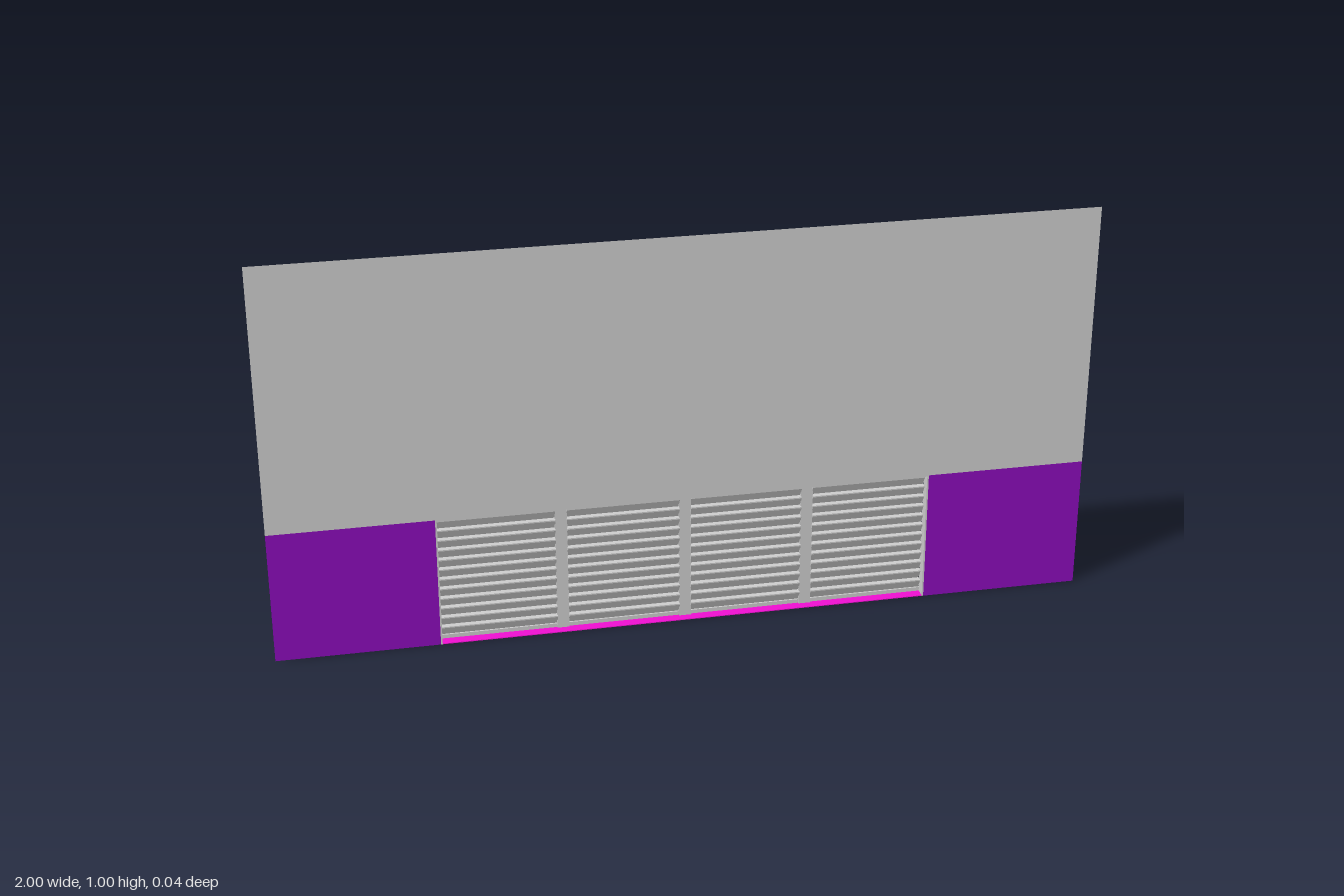
import * as THREE from 'three';

export function createModel() {
  const model = new THREE.Group();
  const grey = new THREE.MeshStandardMaterial({ color: 0xcccccc, flatShading: true, side: THREE.DoubleSide });
  const purple = new THREE.MeshStandardMaterial({ color: 0x8a0cb8, side: THREE.DoubleSide });
  const magenta = new THREE.MeshStandardMaterial({ color: 0xee10d0, side: THREE.DoubleSide });

  const FRONT = 0.018, BACK = -0.011, REAR = -0.018;
  const HALF = 0.605, TOP = 0.335;

  const add = (name, geometry, material = grey) => {
    const mesh = new THREE.Mesh(geometry, material);
    mesh.name = name;
    model.add(mesh);
    return mesh;
  };
  // Thin upright sheet on the facade plane
  const sheet = (name, x0, x1, y0, y1, material) =>
    add(name, new THREE.PlaneGeometry(x1 - x0, y1 - y0), material)
      .position.set((x0 + x1) / 2, (y0 + y1) / 2, FRONT);
  // Box given by its limits
  const box = (name, x0, x1, y0, y1, z0, z1, material) =>
    add(name, new THREE.BoxGeometry(x1 - x0, y1 - y0, z1 - z0), material)
      .position.set((x0 + x1) / 2, (y0 + y1) / 2, (z0 + z1) / 2);

  // Facade: two upper bands with a fine seam, coloured panels beside the opening
  sheet('lowerWallBand', -1, 1, TOP, 0.666, grey);
  sheet('upperWallBand', -1, 1, 0.668, 1, grey);
  box('wallSeam', -1, 1, 0.666, 0.668, FRONT - 0.002, FRONT);
  sheet('rightWallPanel', -1, -HALF, 0, TOP, purple);
  sheet('leftWallPanel', HALF, 1, 0, TOP, purple);

  // Shallow recess: jambs, lintel and coloured sill
  for (const s of [-1, 1]) {
    const jamb = add('jamb', new THREE.BoxGeometry(0.004, TOP, FRONT - BACK));
    jamb.position.set(s * (HALF - 0.002), TOP / 2, (FRONT + BACK) / 2);
  }
  box('lintel', -HALF, HALF, TOP - 0.003, TOP, BACK, FRONT);
  box('sill', -HALF, HALF, 0, 0.002, BACK, FRONT, magenta);

  // Frame behind the shutters
  box('topRail', -HALF, HALF, 0.325, TOP, BACK, BACK + 0.004);
  box('bottomRail', -HALF, HALF, 0.002, 0.012, BACK, BACK + 0.004);
  for (const x of [-0.303, 0, 0.303]) box('post', x - 0.015, x + 0.015, 0.002, TOP, BACK, -0.003);

  // Four shutters: flat at the back, slats leaning out at their top edge in front
  const rows = 12, y0 = 0.012, y1 = 0.325, pitch = (y1 - y0) / rows;
  const profile = new THREE.Shape();
  profile.moveTo(REAR + 0.002, y0);
  profile.lineTo(BACK, y0);
  for (let i = 0; i < rows; i++) {
    const top = y0 + (i + 1) * pitch;
    profile.lineTo(0.003, top - 0.003);
    profile.lineTo(0.003, top);
    profile.lineTo(BACK, top);
  }
  profile.lineTo(REAR + 0.002, y1);
  profile.closePath();

  for (const [x0, x1] of [[-0.6, -0.317], [-0.289, -0.014], [0.014, 0.289], [0.317, 0.6]]) {
    const slats = new THREE.ExtrudeGeometry(profile, { depth: x1 - x0, bevelEnabled: false });
    slats.rotateY(-Math.PI / 2); // profile x becomes z, extrusion runs to -x
    add('slattedShutter', slats).position.x = x1;
    box('shutterBack', x0, x1, 0.01, 0.326, REAR, REAR + 0.005);
  }
  return model;
}
